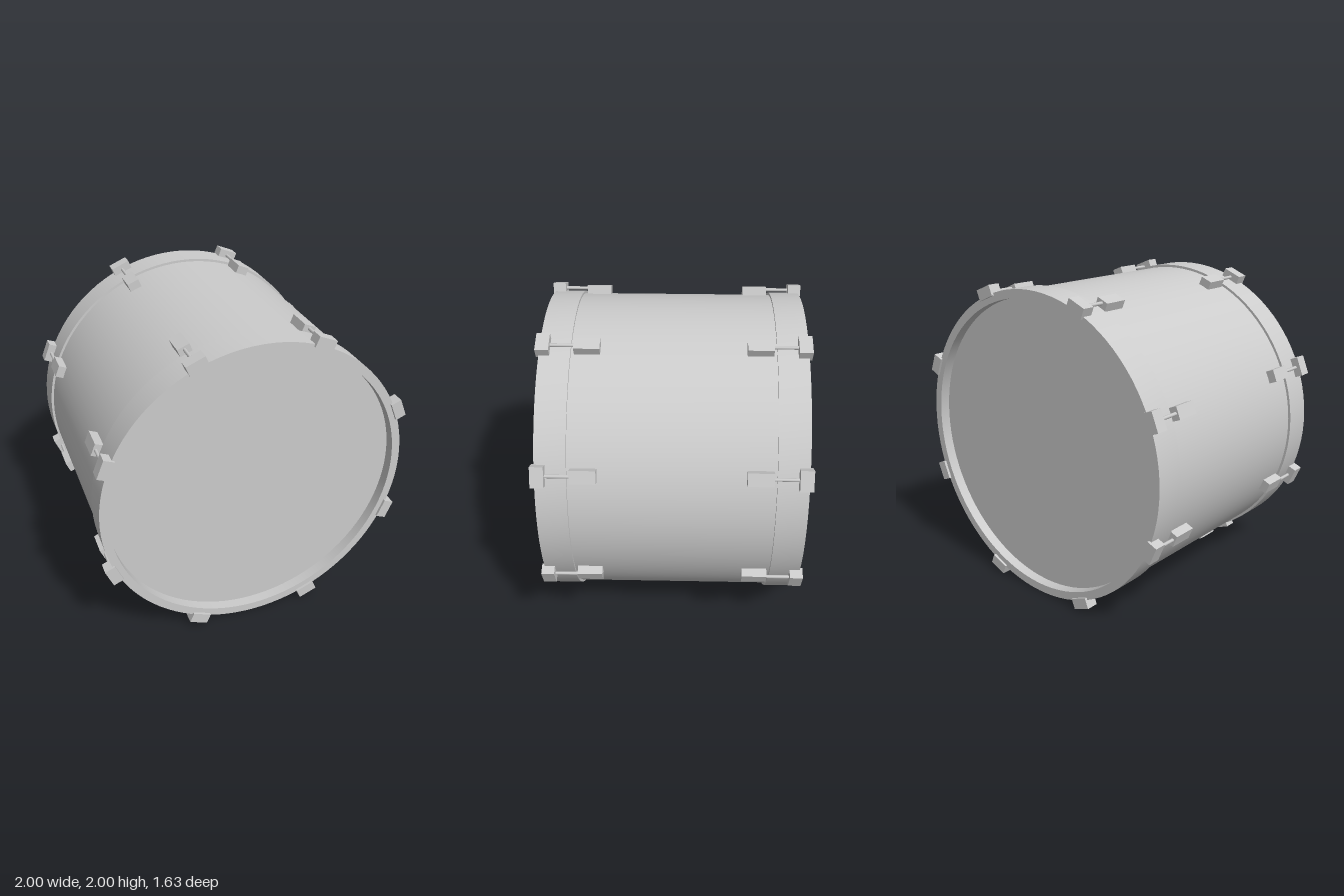
import * as THREE from 'three';
import { toCreasedNormals } from 'three/addons/utils/BufferGeometryUtils.js';

const material = new THREE.MeshStandardMaterial({ color: 0xcccccc });
const SEGMENTS = 96;

function addMesh(parent, name, geometry, x = 0, y = 0, z = 0) {
  const mesh = new THREE.Mesh(geometry, material);
  mesh.name = name;
  mesh.position.set(x, y, z);
  parent.add(mesh);
  return mesh;
}

// Revolves [radius, z] points around the z axis, keeping corners sharp
function revolve(points) {
  const profile = points.map(([r, z]) => new THREE.Vector2(r, z));
  const lathe = new THREE.LatheGeometry(profile, SEGMENTS).rotateX(Math.PI / 2);
  return toCreasedNormals(lathe, 0.6);
}

// One hoop clamp, tension rod and shell lug, laid out along +x
function createTensioner() {
  const group = new THREE.Group();
  group.name = 'tensioner';
  addMesh(group, 'clamp', new THREE.BoxGeometry(0.07, 0.126, 0.08), 1.017, 0, 0.773);
  const rod = new THREE.CylinderGeometry(0.011, 0.011, 0.18, 8).rotateX(Math.PI / 2);
  addMesh(group, 'tensionRod', rod, 1.018, 0, 0.665);
  addMesh(group, 'lug', new THREE.BoxGeometry(0.075, 0.08, 0.155), 1.0, 0, 0.513);
  return group;
}

// Hoop, recessed head and eight tensioners for the +z end
function createEnd(name) {
  const end = new THREE.Group();
  end.name = name;
  addMesh(end, 'hoop', revolve([
    [0.945, 0.61], [1.0, 0.61], [1.0, 0.797], [0.945, 0.797], [0.945, 0.61],
  ]));
  addMesh(end, 'drumHead', new THREE.CircleGeometry(0.955, SEGMENTS), 0, 0, 0.73);
  for (let i = 0; i < 8; i++) {
    const tensioner = createTensioner();
    tensioner.rotation.z = (i + 0.5) * Math.PI / 4;
    end.add(tensioner);
  }
  return end;
}

export function createModel() {
  const drum = new THREE.Group();
  drum.name = 'bassDrum';
  const body = new THREE.Group();
  body.name = 'body';
  body.position.y = 1;
  drum.add(body);

  // Shell, ending inside the hoops
  addMesh(body, 'shell', revolve([[0.984, -0.7], [0.984, 0.7]]));

  const front = createEnd('frontEnd');
  const back = createEnd('backEnd');
  back.rotation.y = Math.PI;
  body.add(front, back);
  return drum;
}
